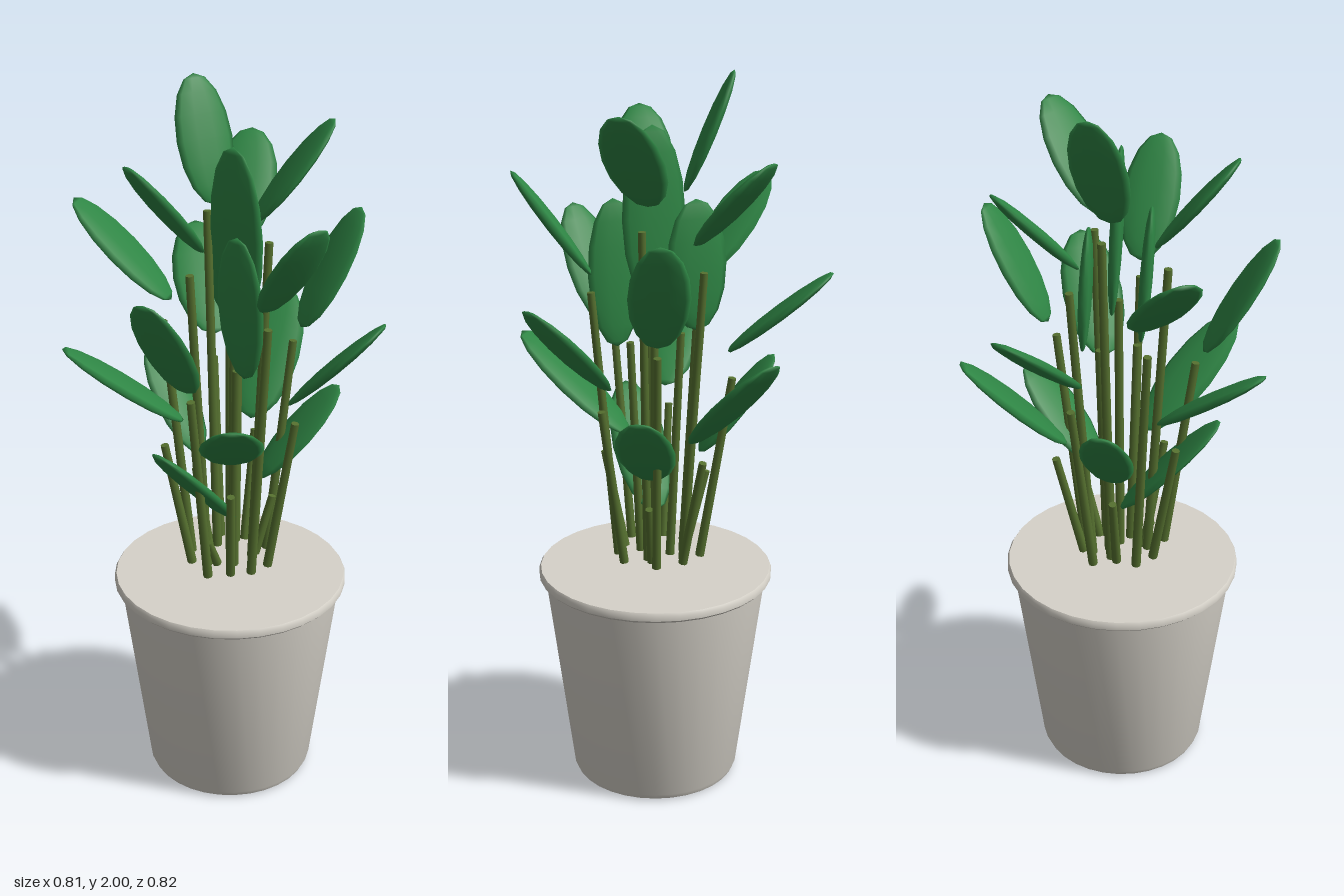
import * as THREE from 'three';
import { toCreasedNormals } from 'three/addons/utils/BufferGeometryUtils.js';

const mat = (name, color) => {
  const m = new THREE.MeshStandardMaterial({ color });
  m.name = name;
  return m;
};

// Leaf centre x, y, z, lean from vertical in degrees, length, width.
const LEAVES = [
  [-0.10, 1.17, -0.28, 45, 0.40, 0.18],
  [-0.27, 1.38, -0.20, 50, 0.36, 0.18],
  [-0.13, 1.68, -0.21, 43, 0.33, 0.17],
  [-0.23, 1.08, -0.03, 39, 0.34, 0.14],
  [-0.13, 1.84, -0.05, 22, 0.34, 0.16],
  [-0.275, 1.55, 0.115, 47, 0.37, 0.17],
  [-0.165, 1.23, 0.235, 53, 0.40, 0.16],
  [-0.05, 1.73, 0.19, 39, 0.34, 0.16],
  [0.06, 1.42, 0.31, 32, 0.37, 0.16],
  [0.165, 1.13, 0.18, 52, 0.41, 0.17],
  [0.265, 1.61, 0.065, 36, 0.35, 0.16],
  [0.285, 1.31, -0.095, 44, 0.37, 0.17],
  [0.11, 1.79, -0.12, 38, 0.34, 0.17],
  [0.11, 1.48, -0.285, 30, 0.36, 0.16],
  [0.10, 1.03, -0.17, 44, 0.34, 0.16],
  [-0.01, 0.935, 0.13, 43, 0.40, 0.16],
];

// Inner leaves that stand almost straight and face the front.
const UPRIGHT = [
  [0.01, 1.62, -0.015, 3, 0.48, 0.18],
  [0.09, 1.46, 0.06, 4, 0.40, 0.155],
  [-0.08, 1.50, -0.09, 3, 0.35, 0.17],
];

export function createModel() {
  const model = new THREE.Group();
  const potMat = mat('potGrey', 0xd6d2c9);
  const leafMat = mat('leafGreen', 0x2e8544);
  const stemMat = mat('stemOlive', 0x55702f);

  const add = (parent, name, geometry, material) => {
    const mesh = new THREE.Mesh(geometry, material);
    mesh.name = name;
    parent.add(mesh);
    return mesh;
  };

  // Tapered pot with rounded foot, rolled rim and closed flat top.
  const profile = [
    [0, 0], [0.215, 0], [0.227, 0.005], [0.234, 0.02], [0.308, 0.595],
    [0.318, 0.596], [0.325, 0.603], [0.325, 0.617], [0.32, 0.625], [0, 0.625],
  ].map(([r, y]) => new THREE.Vector2(r, y));
  add(model, 'pot', toCreasedNormals(new THREE.LatheGeometry(profile, 32), 0.7), potMat);

  const plant = new THREE.Group();
  plant.name = 'plant';
  model.add(plant);
  const leafGeo = new THREE.SphereGeometry(0.5, 10, 8);
  const up = new THREE.Vector3(0, 1, 0);

  const addShoot = ([x, y, z, lean, length, width], azimuth) => {
    const shoot = new THREE.Group();
    shoot.name = 'shoot';
    plant.add(shoot);

    // Flattened leaf leaning outward.
    const leaf = add(shoot, 'leaf', leafGeo, leafMat);
    leaf.scale.set(width, length, 0.036);
    leaf.position.set(x, y, z);
    leaf.rotation.set(THREE.MathUtils.degToRad(lean), azimuth, 0, 'YXZ');

    // Thin straight stem rising from the middle of the pot to the leaf base.
    const spread = lean < 25 && lean > 10 ? 0.92 : 0.63;
    const top = new THREE.Vector3(x * spread, y - 0.19, z * spread);
    const foot = new THREE.Vector3(top.x * 0.6, 0.665, top.z * 0.6);
    const dir = top.clone().sub(foot);
    const stem = add(shoot, 'stem', new THREE.CylinderGeometry(0.011, 0.013, dir.length(), 8), stemMat);
    stem.position.copy(foot).addScaledVector(dir, 0.5);
    stem.quaternion.setFromUnitVectors(up, dir.clone().normalize());
  };

  LEAVES.forEach((l) => addShoot(l, Math.atan2(l[0], l[2])));
  UPRIGHT.forEach((l) => addShoot(l, 0));
  return model;
}
